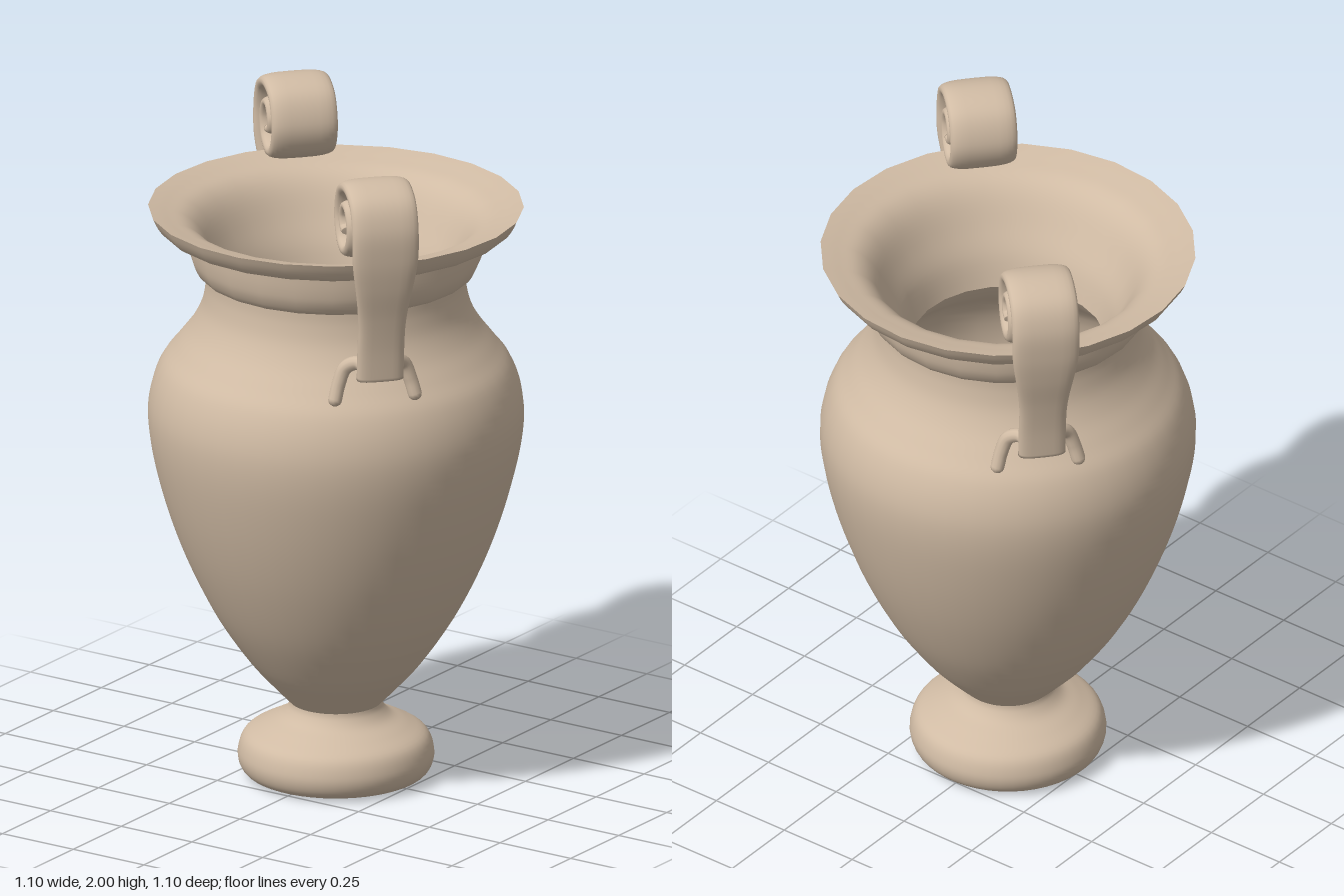
import * as THREE from 'three';

const clay = new THREE.MeshStandardMaterial({ color: 0xd0bba4 });
clay.name = 'clay';

const SIDES = 24;

function part(name, geometry) {
  const mesh = new THREE.Mesh(geometry, clay);
  mesh.name = name;
  return mesh;
}

// Turned part: a smooth curve through [radius, height] points
function turned(name, pts, samples) {
  const curve = new THREE.SplineCurve(pts.map(([r, y]) => new THREE.Vector2(r, y)));
  const profile = curve.getPoints(samples);
  profile.forEach((p) => { p.x = Math.max(p.x, 0); });
  const mesh = part(name, new THREE.LatheGeometry(profile, SIDES * 2));
  mesh.rotation.y = 0.05;
  return mesh;
}

// Rim parts keep the coarser, slightly faceted outline
function coarse(name, pts, samples) {
  const curve = new THREE.SplineCurve(pts.map(([r, y]) => new THREE.Vector2(r, y)));
  const mesh = part(name, new THREE.LatheGeometry(curve.getPoints(samples), SIDES));
  mesh.rotation.y = 0.05;
  return mesh;
}

// Flat strap with rounded edges swept along a path in the x-y plane
function strapGeometry(pts, halfWidth, halfThick, steps = 130, around = 24) {
  const curve = new THREE.SplineCurve(pts.map(([x, y]) => new THREE.Vector2(x, y)));
  const pos = [], index = [];
  const soft = (v, e) => Math.sign(v) * Math.pow(Math.abs(v), e);
  const rings = steps + 3;
  for (let k = 0; k < rings; k++) {
    const u = Math.min(Math.max((k - 1) / steps, 0), 1);
    const closed = k === 0 || k === rings - 1 ? 0 : 1;
    const p = curve.getPoint(u), t = curve.getTangent(u);
    const w = halfWidth(u) * closed, h = halfThick(u) * closed;
    for (let j = 0; j < around; j++) {
      const a = (j / around) * Math.PI * 2;
      const n = soft(Math.cos(a), 0.75) * h;
      pos.push(p.x - t.y * n, p.y + t.x * n, soft(Math.sin(a), 0.6) * w);
      if (k < rings - 1) {
        const j2 = (j + 1) % around;
        const A = k * around + j, B = k * around + j2;
        index.push(A, B, A + around, B, B + around, A + around);
      }
    }
  }
  const g = new THREE.BufferGeometry();
  g.setAttribute('position', new THREE.Float32BufferAttribute(pos, 3));
  g.setIndex(index);
  g.computeVertexNormals();
  return g;
}

function createHandle() {
  const handle = new THREE.Group();
  handle.name = 'handle';

  // Strap rises from the shoulder and rolls inward into a scroll
  const path = [
    [0.54, 1.4], [0.55, 1.5], [0.568, 1.6], [0.592, 1.7], [0.606, 1.79],
    [0.605, 1.88], [0.572, 1.95], [0.495, 1.978], [0.415, 1.95], [0.384, 1.87],
    [0.41, 1.8], [0.465, 1.779], [0.52, 1.81], [0.535, 1.865], [0.51, 1.912],
    [0.468, 1.92], [0.44, 1.885], [0.448, 1.85], [0.478, 1.843],
  ];
  const width = (u) => 0.07 + 0.03 * THREE.MathUtils.smoothstep(u, 0.08, 0.24);
  const thick = (u) => 0.023 - 0.006 * THREE.MathUtils.smoothstep(u, 0.55, 1);
  handle.add(part('scrollStrap', strapGeometry(path, width, thick)));

  // Two prongs arch off the strap's foot and grip the shoulder
  for (const s of [-1, 1]) {
    const curve = new THREE.CatmullRomCurve3([
      [0.54, 1.425, 0.035], [0.5, 1.44, 0.055], [0.475, 1.42, 0.088],
      [0.472, 1.37, 0.108], [0.478, 1.325, 0.12],
    ].map(([x, y, z]) => new THREE.Vector3(x, y, z * s)));
    handle.add(part('prong', new THREE.TubeGeometry(curve, 24, 0.021, 12)));
    for (const end of [0, 1]) {
      const tip = part('prongTip', new THREE.SphereGeometry(0.021, 12, 8));
      tip.position.copy(curve.getPoint(end));
      handle.add(tip);
    }
  }
  return handle;
}

export function createModel() {
  const urn = new THREE.Group();
  urn.name = 'urn';

  // Foot
  urn.add(turned('foot', [
    [0.22, 0], [0.262, 0.012], [0.283, 0.04], [0.287, 0.08], [0.268, 0.128],
    [0.215, 0.16], [0.165, 0.185], [0.14, 0.212], [0.134, 0.235],
  ], 40));
  const base = part('footUnderside', new THREE.CircleGeometry(0.22, SIDES * 2));
  base.rotation.x = Math.PI / 2;
  urn.add(base);

  // Body and neck
  urn.add(turned('body', [
    [0.132, 0.225], [0.18, 0.275], [0.255, 0.36], [0.35, 0.5], [0.43, 0.66], [0.49, 0.82],
    [0.533, 0.98], [0.55, 1.1], [0.543, 1.19], [0.515, 1.27], [0.47, 1.33],
    [0.425, 1.39], [0.395, 1.45], [0.382, 1.51], [0.38, 1.555],
  ], 70));

  // Moulded collar and flared lip
  urn.add(coarse('collar', [
    [0.37, 1.548], [0.4, 1.555], [0.422, 1.59], [0.432, 1.63], [0.437, 1.675],
  ], 16));
  urn.add(coarse('lip', [
    [0.435, 1.672], [0.475, 1.685], [0.512, 1.698], [0.535, 1.725], [0.55, 1.755],
  ], 16));

  // Mouth, narrowing to the throat, then the hollow inside
  urn.add(coarse('mouth', [
    [0.55, 1.755], [0.5, 1.742], [0.44, 1.722], [0.395, 1.68], [0.35, 1.6],
    [0.31, 1.52], [0.285, 1.43],
  ], 30));
  urn.add(coarse('hollow', [
    [0.285, 1.43], [0.34, 1.36], [0.45, 1.25], [0.49, 1.1], [0.47, 0.95],
    [0.37, 0.68], [0.25, 0.46], [0.138, 0.3],
  ], 30));
  const floor = part('hollowFloor', new THREE.CircleGeometry(0.14, SIDES * 2));
  floor.rotation.x = -Math.PI / 2;
  floor.position.y = 0.3;
  urn.add(floor);

  // Pair of opposed handles on the diagonal
  for (const turn of [0, Math.PI]) {
    const handle = createHandle();
    handle.rotation.y = -0.733 + turn;
    urn.add(handle);
  }
  return urn;
}
